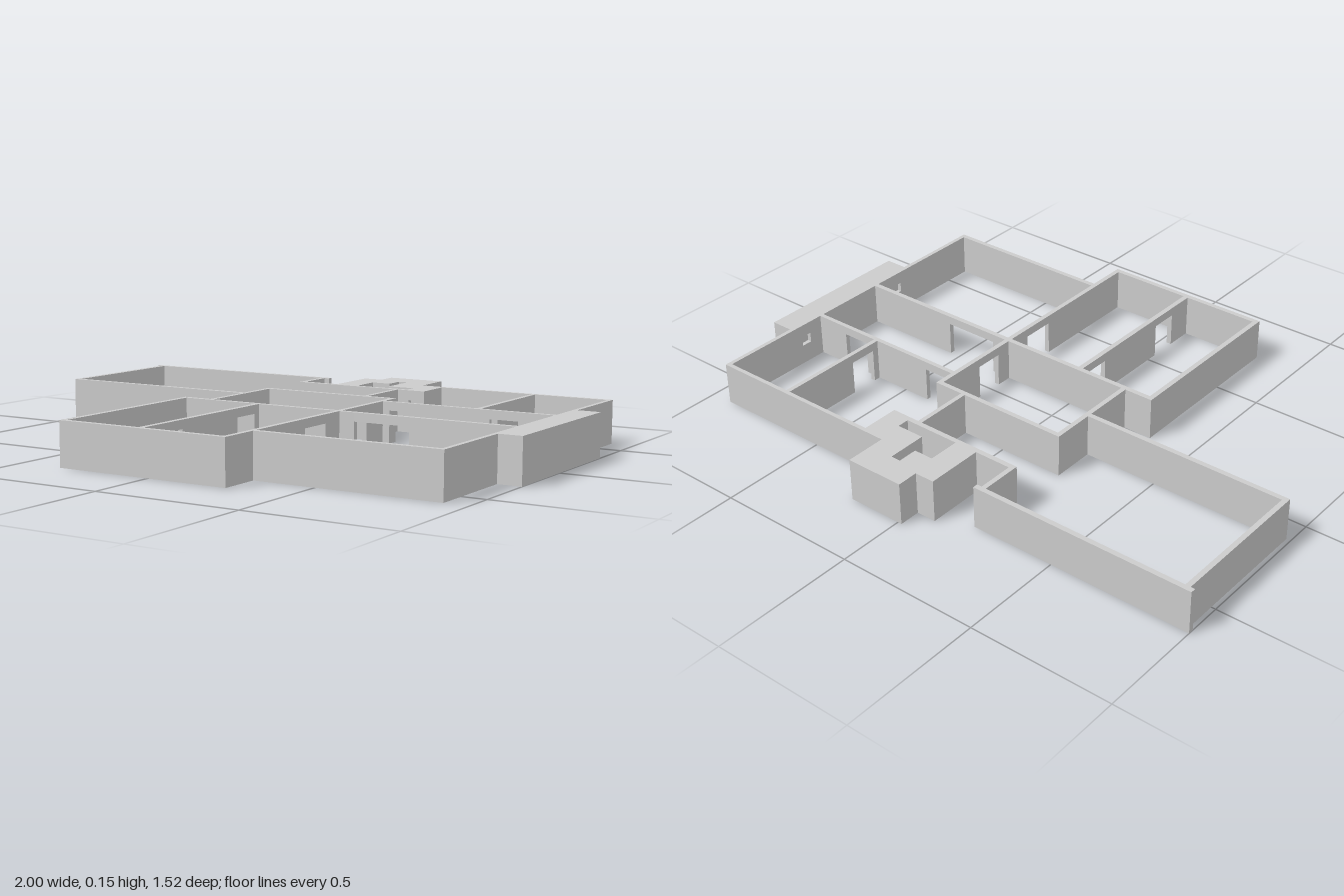
import * as THREE from 'three';

const H = 0.15;        // wall height
const DOOR = 0.12;     // door head height

export function createModel() {
  const model = new THREE.Group();
  model.name = 'floorPlan';
  const material = new THREE.MeshStandardMaterial({ color: 0xcccccc, flatShading: true });

  // Wall on a rectangle of the plan; openings [from, to, sill, head] run along its long axis
  function wall(name, x0, x1, z0, z1, openings = []) {
    const group = new THREE.Group();
    group.name = name;
    const alongX = x1 - x0 > z1 - z0;
    const piece = (a, b, y0, y1) => {
      if (b - a < 1e-4 || y1 - y0 < 1e-4) return;
      const [xa, xb, za, zb] = alongX ? [a, b, z0, z1] : [x0, x1, a, b];
      const mesh = new THREE.Mesh(new THREE.BoxGeometry(xb - xa, y1 - y0, zb - za), material);
      mesh.position.set((xa + xb) / 2, (y0 + y1) / 2, (za + zb) / 2);
      mesh.name = name + 'Section';
      group.add(mesh);
    };
    let start = alongX ? x0 : z0;
    for (const [a, b, sill = 0, head = DOOR] of openings) {
      piece(start, a, 0, H);
      piece(a, b, 0, sill);
      piece(a, b, head, H);
      start = b;
    }
    piece(start, alongX ? x1 : z1, 0, H);
    model.add(group);
  }

  // Long room on the right wing
  wall('wingBackWall', -1, -0.2, -0.635, -0.617);
  wall('wingEndWall', -0.985, -0.967, -0.617, -0.108);
  wall('wingFrontWall', -0.985, -0.235, -0.108, -0.09);
  wall('wingInnerWall', -0.235, -0.218, -0.617, -0.488);

  // Hall, with two small niches under the hearth block
  wall('hallBackWall', -0.235, 0.28, -0.488, -0.47,
    [[-0.06, -0.02, 0.08, 0.115], [0.22, 0.26, 0.08, 0.115]]);
  wall('hallSideWall', 0.16, 0.176, -0.47, -0.26);

  // Central room
  wall('centralBackWall', -0.235, 0.268, -0.26, -0.243);
  wall('centralSideWall', -0.235, -0.218, -0.243, 0.096);
  wall('spineWall', 0.268, 0.285, -0.26, 0.755, [[-0.06, 0.04], [0.2, 0.32]]);
  wall('crossWallRight', -0.34, 0.268, 0.096, 0.114);
  wall('crossWallLeft', 0.285, 0.905, 0.096, 0.114, [[0.34, 0.54]]);

  // Rooms on the left side
  wall('leftBackWall', 0.195, 0.92, -0.62, -0.605);
  wall('leftOuterWall', 0.905, 0.92, -0.605, 0.61,
    [[-0.28, -0.24, 0.07, 0.105], [0.19, 0.23, 0.07, 0.105]]);
  wall('leftFrontWall', 0.285, 0.905, 0.592, 0.61);
  wall('leftPartition', 0.626, 0.642, -0.605, -0.186, [[-0.31, -0.21]]);
  wall('leftCrossWall', 0.285, 0.905, -0.186, -0.17, [[0.31, 0.4], [0.68, 0.78]]);
  wall('sideHearthBlock', 0.92, 1, -0.32, 0.27);

  // Front rooms
  wall('frontOuterWall', -0.34, -0.322, 0.114, 0.755);
  wall('frontWall', -0.322, 0.268, 0.737, 0.755);
  wall('frontPartition', -0.044, -0.026, 0.114, 0.737, [[0.14, 0.24], [0.54, 0.64]]);

  // Stepped hearth block at the back, extruded from its plan [x, z]
  const plan = [
    [-0.085, -0.488], [-0.085, -0.69], [-0.015, -0.69], [-0.015, -0.765],
    [0.195, -0.765], [0.195, -0.605], [0.28, -0.605], [0.28, -0.488],
    [0.205, -0.488], [0.205, -0.53], [0.105, -0.53], [0.105, -0.67],
    [0.07, -0.67], [0.07, -0.6], [0, -0.6], [0, -0.488],
  ];
  const shape = new THREE.Shape(plan.map(([x, z]) => new THREE.Vector2(x, -z)));
  const hearth = new THREE.ExtrudeGeometry(shape, { depth: H, bevelEnabled: false });
  hearth.rotateX(-Math.PI / 2);
  const hearthMesh = new THREE.Mesh(hearth, material);
  hearthMesh.name = 'backHearthBlock';
  model.add(hearthMesh);

  return model;
}
